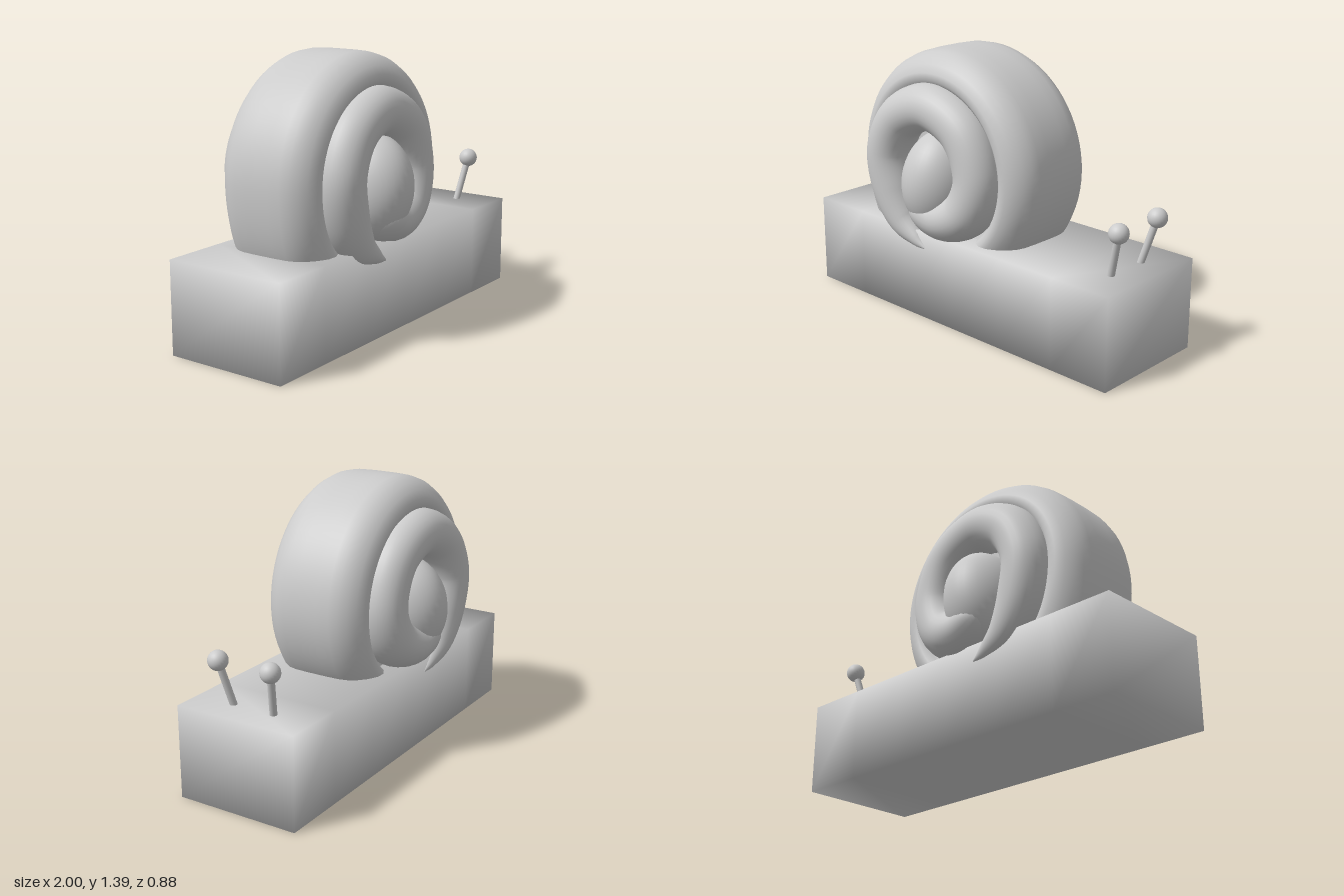
import * as THREE from 'three';
import { mergeVertices } from 'three/addons/utils/BufferGeometryUtils.js';

const grey = new THREE.MeshStandardMaterial({ color: 0xcccccc });
const V = (x, y, z) => new THREE.Vector3(x, y, z);

function add(group, name, geometry) {
  const mesh = new THREE.Mesh(geometry, grey);
  mesh.name = name;
  group.add(mesh);
  return mesh;
}

// Box with shared corners, so its shading runs softly over the edges
function softBox(w, h, d, segments) {
  const box = new THREE.BoxGeometry(w, h, d, segments, 1, 1);
  box.deleteAttribute('normal');
  box.deleteAttribute('uv');
  const g = mergeVertices(box);
  g.computeVertexNormals();
  return g;
}

// Broad outer whorl: a rounded wheel about the z axis
function outerWhorl() {
  const half = [[0.3, 0.2], [0.405, 0.205], [0.425, 0.25], [0.455, 0.274], [0.49, 0.272],
    [0.53, 0.247], [0.56, 0.215], [0.583, 0.175], [0.593, 0.13], [0.596, 0.06]];
  const profile = [[0, 0.2], ...half];
  const points = [
    ...profile.map(([r, z]) => new THREE.Vector2(r, -z)),
    ...profile.reverse().map(([r, z]) => new THREE.Vector2(r, z)),
  ];
  const g = new THREE.LatheGeometry(points, 72);
  g.rotateX(Math.PI / 2);
  // the mouth of the spiral flares out at the lower rear
  const p = g.attributes.position;
  for (let i = 0; i < p.count; i++) {
    const x = p.getX(i), y = p.getY(i);
    if (x < 0 && y < 0) {
      const r = Math.hypot(x, y);
      const out = 0.16 * Math.pow(-y / 0.6, 2) * (r / 0.6) * Math.min(1, -x / 0.3);
      p.setX(i, x - out);
    }
  }
  g.translate(-0.165, 0.797, 0);
  g.computeVertexNormals();
  return g;
}

// Coil on one side of the shell; each row is x, y, z, radius in the plane, radius in z
const coil = [
  [-0.18, 0.385, 0.32, 0.006, 0.008],
  [-0.255, 0.42, 0.3, 0.045, 0.05],
  [-0.37, 0.5, 0.28, 0.095, 0.095],
  [-0.45, 0.65, 0.27, 0.122, 0.122],
  [-0.478, 0.85, 0.27, 0.122, 0.13],
  [-0.38, 1.035, 0.265, 0.122, 0.13],
  [-0.175, 1.115, 0.26, 0.121, 0.125],
  [0.04, 1.025, 0.26, 0.121, 0.12],
  [0.13, 0.82, 0.255, 0.121, 0.125],
  [0.075, 0.64, 0.255, 0.125, 0.14],
  [-0.07, 0.57, 0.25, 0.124, 0.165],
  [-0.2, 0.62, 0.25, 0.1, 0.15],
  [-0.22, 0.72, 0.25, 0.01, 0.02],
];

function coilGeometry(side) {
  const path = new THREE.CatmullRomCurve3(coil.map(c => V(c[0], c[1], c[2])), false, 'catmullrom');
  const size = new THREE.CatmullRomCurve3(coil.map(c => V(c[3], c[4], 0)), false, 'catmullrom');
  const rings = 120, around = 28, pos = [], index = [];
  for (let i = 0; i <= rings; i++) {
    const t = i / rings;
    const c = path.getPoint(t), s = size.getPoint(t), d = path.getTangent(t);
    const len = Math.hypot(d.x, d.y);
    for (let j = 0; j < around; j++) {
      const a = (j / around) * Math.PI * 2;
      const r = Math.max(s.x, 0.003) * Math.cos(a), h = Math.max(s.y, 0.003) * Math.sin(a);
      pos.push(c.x - (d.y / len) * r, c.y + (d.x / len) * r, side * (c.z + h));
      if (i === rings) continue;
      const k = i * around, n = (j + 1) % around;
      const q = [k + j, k + around + j, k + around + n, k + n];
      if (side > 0) index.push(q[0], q[1], q[2], q[0], q[2], q[3]);
      else index.push(q[0], q[2], q[1], q[0], q[3], q[2]);
    }
  }
  // orientation: ring order turns from the in-plane normal to +z, seen along the path
  for (let i = 0; i < index.length; i += 3) [index[i + 1], index[i + 2]] = [index[i + 2], index[i + 1]];
  const g = new THREE.BufferGeometry();
  g.setAttribute('position', new THREE.Float32BufferAttribute(pos, 3));
  g.setIndex(index);
  g.computeVertexNormals();
  return g;
}

export function createModel() {
  const model = new THREE.Group();
  model.name = 'snail';

  add(model, 'body', softBox(2, 0.47, 0.65, 6)).position.y = 0.235;

  // Shell
  const shell = new THREE.Group();
  shell.name = 'shell';
  model.add(shell);
  add(shell, 'outerWhorl', outerWhorl());
  for (const side of [1, -1]) {
    const label = side > 0 ? 'front' : 'back';
    add(shell, label + 'Coil', coilGeometry(side));
    const dome = new THREE.SphereGeometry(1, 36, 24);
    dome.scale(0.185, 0.265, 0.22);
    dome.rotateZ(-0.08);
    dome.translate(-0.155, 0.735, side * 0.222);
    add(shell, label + 'Centre', dome);
  }

  // Eye stalks
  for (const side of [1, -1]) {
    const label = side > 0 ? 'front' : 'back';
    const foot = V(0.84, 0.43, side * 0.108), top = V(0.912, 0.7, side * 0.147);
    const stalk = add(model, label + 'EyeStalk',
      new THREE.CylinderGeometry(0.018, 0.018, foot.distanceTo(top), 16));
    stalk.position.copy(foot).lerp(top, 0.5);
    stalk.quaternion.setFromUnitVectors(V(0, 1, 0), top.clone().sub(foot).normalize());
    add(model, label + 'Eye', new THREE.SphereGeometry(0.049, 24, 16)).position.copy(top);
  }
  return model;
}
